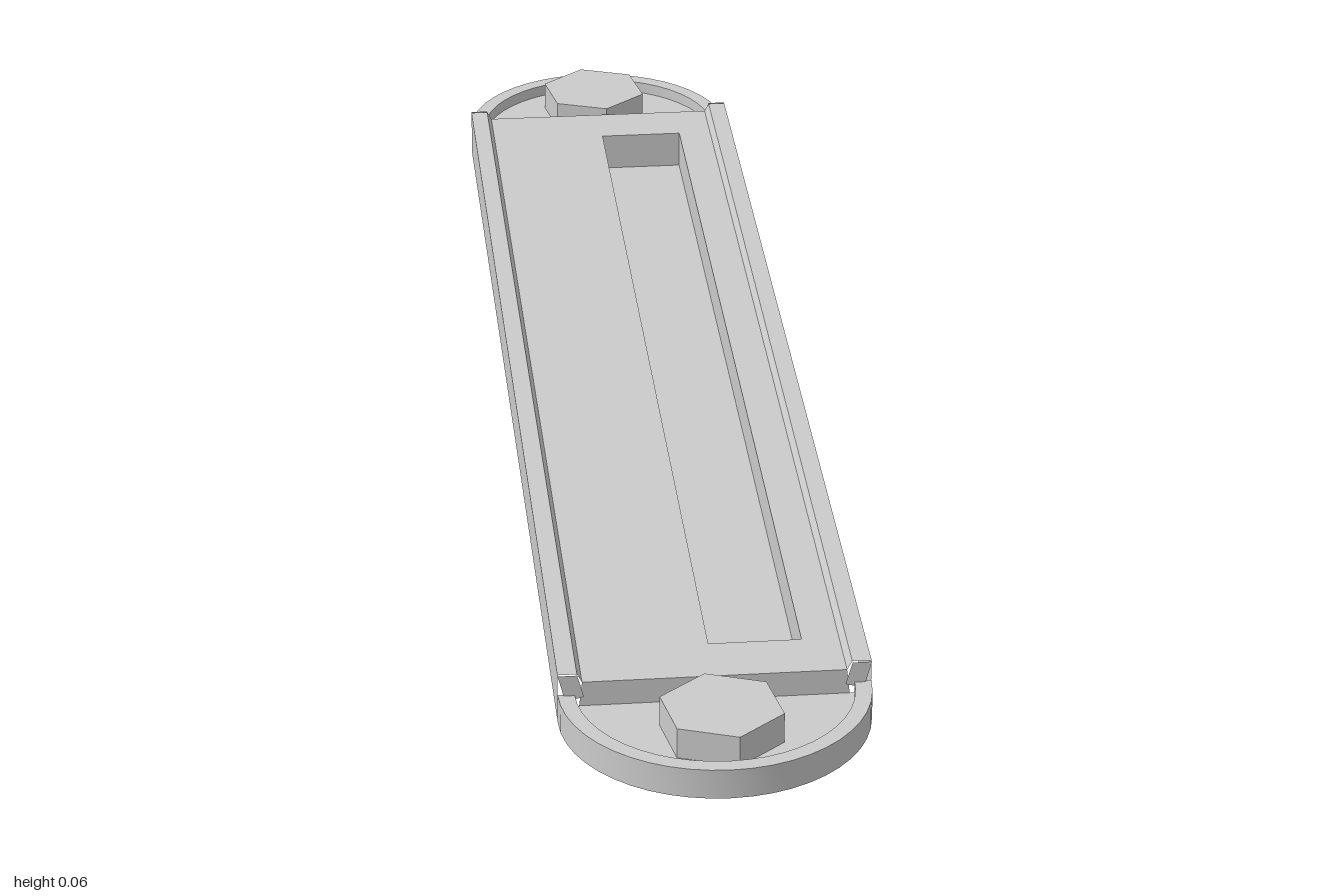
import * as THREE from 'three';
import { toCreasedNormals } from 'three/addons/utils/BufferGeometryUtils.js';

const R = 0.186;       // outer radius of the rounded ends
const ZC = 0.814;      // where the straight middle meets the ends
const PANEL_Y = 0.054;
const solid = new THREE.MeshStandardMaterial({ color: 0xcccccc });
const sheetMat = new THREE.MeshStandardMaterial({ color: 0xcccccc, side: THREE.DoubleSide, flatShading: true });

function add(parent, name, geometry, material = solid) {
  const mesh = new THREE.Mesh(geometry, material);
  mesh.name = name;
  parent.add(mesh);
  return mesh;
}

// Open sheet: a profile in x, y swept straight along z
function sweep(profile, half) {
  const pos = [];
  for (let i = 0; i < profile.length - 1; i++) {
    const [ax, ay] = profile[i], [bx, by] = profile[i + 1];
    pos.push(ax, ay, -half, bx, by, -half, bx, by, half);
    pos.push(ax, ay, -half, bx, by, half, ax, ay, half);
  }
  const g = new THREE.BufferGeometry();
  g.setAttribute('position', new THREE.Float32BufferAttribute(pos, 3));
  g.computeVertexNormals();
  return g;
}

// Flat upright sheet from x, y corners
function upright(corners, z) {
  const shape = new THREE.Shape(corners.map(([x, y]) => new THREE.Vector2(x, y)));
  return new THREE.ShapeGeometry(shape).translate(0, 0, z);
}

// Half disc or half ring, bulging to +z and standing on y = 0
function halfRound(outer, inner, height) {
  const s = new THREE.Shape();
  s.absarc(0, 0, outer, Math.PI, 2 * Math.PI, false);
  if (inner) {
    s.lineTo(inner, 0);
    s.absarc(0, 0, inner, 2 * Math.PI, Math.PI, true);
  }
  const g = new THREE.ExtrudeGeometry(s, { depth: height, bevelEnabled: false, curveSegments: 12 });
  return toCreasedNormals(g.rotateX(-Math.PI / 2), 0.6);
}

export function createModel() {
  const model = new THREE.Group();
  model.name = 'slottedPlate';

  // Long panel with its slot
  const slot = { x0: 0, x1: 0.112, z: 0.738 };
  const face = new THREE.Shape();
  face.moveTo(-0.157, -ZC).lineTo(0.157, -ZC).lineTo(0.157, ZC).lineTo(-0.157, ZC);
  const hole = new THREE.Path();
  hole.moveTo(slot.x0, -slot.z).lineTo(slot.x0, slot.z).lineTo(slot.x1, slot.z).lineTo(slot.x1, -slot.z);
  face.holes.push(hole);
  add(model, 'panel', new THREE.ShapeGeometry(face).rotateX(-Math.PI / 2).translate(0, PANEL_Y, 0), sheetMat);

  // Pocket hanging below the slot
  const pocket = [[slot.x0, PANEL_Y], [slot.x0, 0.003], [slot.x1, 0.003], [slot.x1, PANEL_Y]];
  add(model, 'slotPocket', sweep(pocket, slot.z), sheetMat);
  for (const s of [-1, 1]) add(model, 'slotEndWall', upright(pocket, s * slot.z), sheetMat);

  // Side rails: outer wall, flat top and sloping inner face
  for (const s of [-1, 1]) {
    const profile = [[R, 0], [R, 0.065], [0.163, 0.065], [0.157, PANEL_Y]].map(([x, y]) => [s * x, y]);
    add(model, s > 0 ? 'leftRail' : 'rightRail', sweep(profile, ZC), sheetMat);
    const cap = [[R, 0.065], [0.163, 0.065], [0.155, 0.036], [0.177, 0.03]].map(([x, y]) => [s * x, y]);
    for (const e of [-1, 1]) add(model, 'railEnd', upright(cap, e * (ZC + 0.003)), sheetMat);
  }

  // Rounded ends with a raised rim, and the step up to the panel
  for (const e of [1, -1]) {
    const end = new THREE.Group();
    end.name = e > 0 ? 'frontEnd' : 'backEnd';
    end.position.z = e * ZC;
    if (e < 0) end.rotation.y = Math.PI;
    add(end, 'endFloor', halfRound(0.17, 0, 0.022));
    add(end, 'endRim', halfRound(R, 0.166, 0.038));
    add(end, 'panelStep', upright([[-0.163, 0], [0.163, 0], [0.157, PANEL_Y], [-0.157, PANEL_Y]], 0), sheetMat);
    model.add(end);

    // Hexagonal bolt head, turned slightly
    const bolt = add(model, 'boltHead', toCreasedNormals(new THREE.CylinderGeometry(0.075, 0.075, 0.045, 6), 0.3));
    bolt.position.set(0, 0.0385, e * 0.893);
    bolt.rotation.y = THREE.MathUtils.degToRad(10);
  }
  return model;
}
